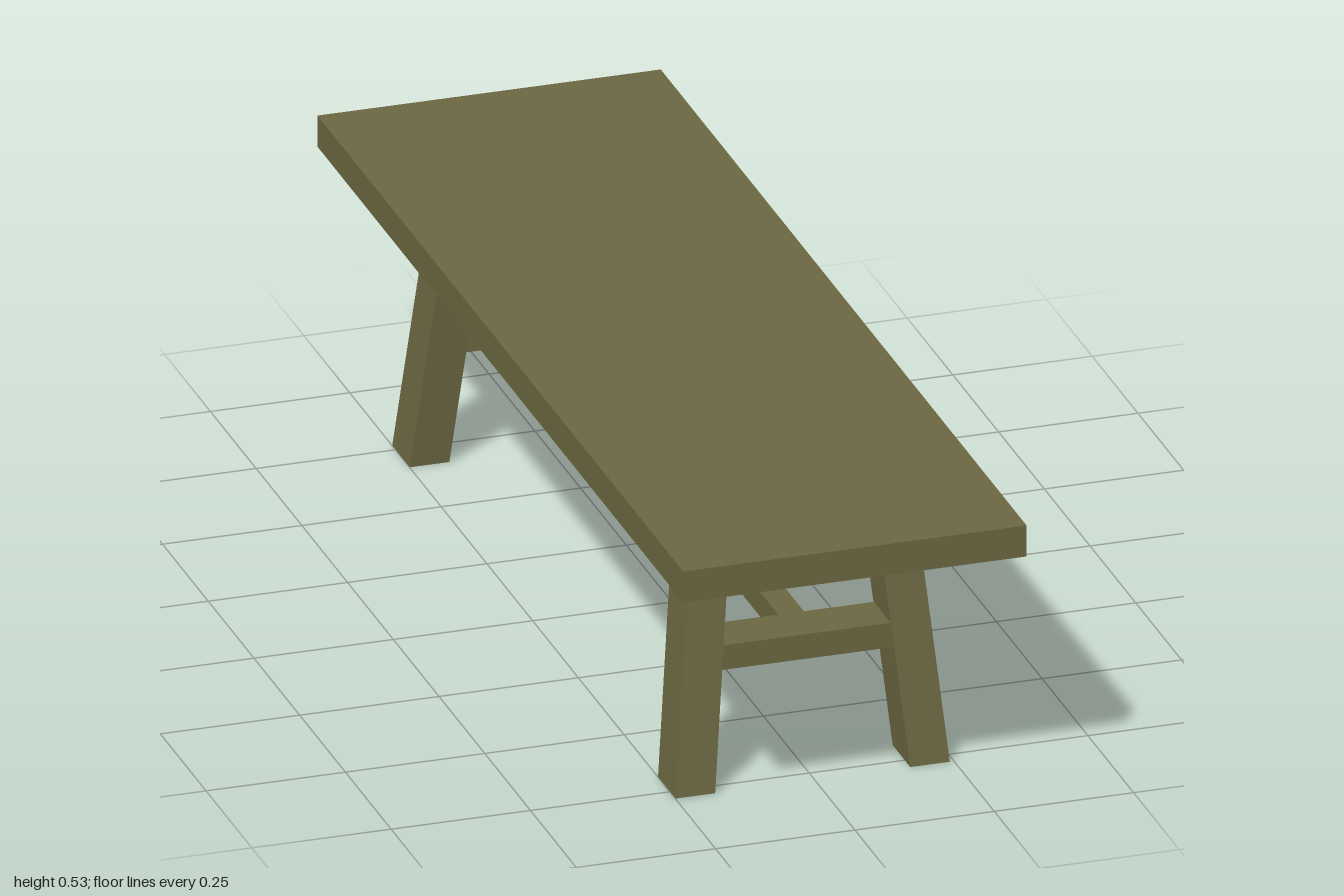
import * as THREE from 'three';

const material = new THREE.MeshStandardMaterial({ color: 0x6b6742, flatShading: true });

// Box given by its size and centre
function addBox(group, name, [w, h, d], [x, y, z]) {
  const mesh = new THREE.Mesh(new THREE.BoxGeometry(w, h, d), material);
  mesh.name = name;
  mesh.position.set(x, y, z);
  group.add(mesh);
}

// Leg: a box sheared so that its foot and top stay level
function addLeg(group, name, foot, top, height) {
  const geometry = new THREE.BoxGeometry(0.071, height, 0.096);
  geometry.translate(0, height / 2, 0);
  const p = geometry.attributes.position;
  for (let i = 0; i < p.count; i++) {
    const t = p.getY(i) / height;
    p.setX(i, p.getX(i) + THREE.MathUtils.lerp(foot[0], top[0], t));
    p.setZ(i, p.getZ(i) + THREE.MathUtils.lerp(foot[1], top[1], t));
  }
  geometry.computeVertexNormals();
  const mesh = new THREE.Mesh(geometry, material);
  mesh.name = name;
  group.add(mesh);
}

export function createModel() {
  const bench = new THREE.Group();
  bench.name = 'bench';

  // Seat board
  addBox(bench, 'seat', [0.616, 0.058, 2], [0, 0.497, 0]);

  // Splayed legs and the rail joining each pair
  for (const [end, footZ, sz] of [['front', 0.732, 1], ['back', -0.721, -1]]) {
    for (const [side, footX, sx] of [['Left', 0.207, 1], ['Right', -0.214, -1]]) {
      addLeg(bench, `${end}${side}Leg`, [footX, footZ], [sx * 0.165, sz * 0.667], 0.468);
    }
    addBox(bench, `${end}Rail`, [0.35, 0.046, 0.092], [0, 0.234, sz * 0.697]);
  }

  // Long stretcher between the two rails
  addBox(bench, 'stretcher', [0.046, 0.046, 1.32], [0, 0.234, 0]);

  return bench;
}
